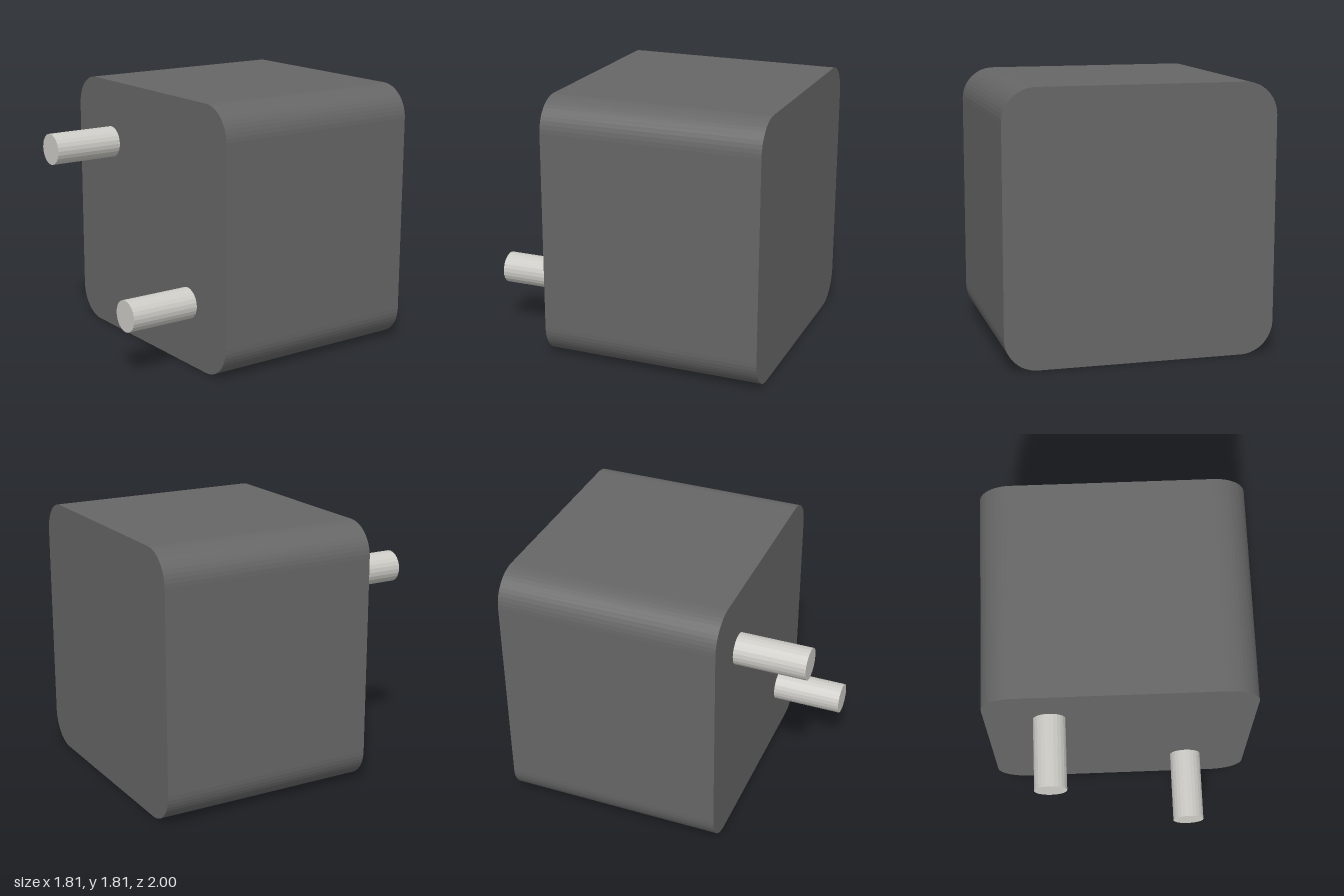
import * as THREE from 'three';

const HALF = 0.905, RADIUS = 0.22, BACK = -1, FACE = 0.51, TIP = 1;

// Square outline with rounded corners, centred on the origin
function roundedSquare(half, r) {
  const c = half - r;
  const shape = new THREE.Shape();
  shape.absarc(c, c, r, 0, Math.PI / 2);
  shape.absarc(-c, c, r, Math.PI / 2, Math.PI);
  shape.absarc(-c, -c, r, Math.PI, Math.PI * 1.5);
  shape.absarc(c, -c, r, Math.PI * 1.5, Math.PI * 2);
  shape.closePath();
  return shape;
}

export function createModel() {
  const group = new THREE.Group();
  const dark = new THREE.MeshStandardMaterial({ color: 0x666666, flatShading: true });
  const metal = new THREE.MeshStandardMaterial({ color: 0xcccbc6, flatShading: true });

  // Block with rounded long edges and flat ends
  const body = new THREE.Mesh(
    new THREE.ExtrudeGeometry(roundedSquare(HALF, RADIUS), {
      depth: FACE - BACK, bevelEnabled: false, curveSegments: 6,
    }),
    dark
  );
  body.name = 'body';
  body.position.set(0, HALF, BACK);
  group.add(body);

  // Two pins on a diagonal of the front face
  const length = TIP - FACE;
  const pinGeometry = new THREE.CylinderGeometry(0.108, 0.108, length, 24).rotateX(Math.PI / 2);
  for (const [name, side] of [['leftPin', 1], ['rightPin', -1]]) {
    const pin = new THREE.Mesh(pinGeometry, metal);
    pin.name = name;
    pin.position.set(side * 0.472, HALF - side * 0.472, FACE + length / 2);
    group.add(pin);
  }
  return group;
}
